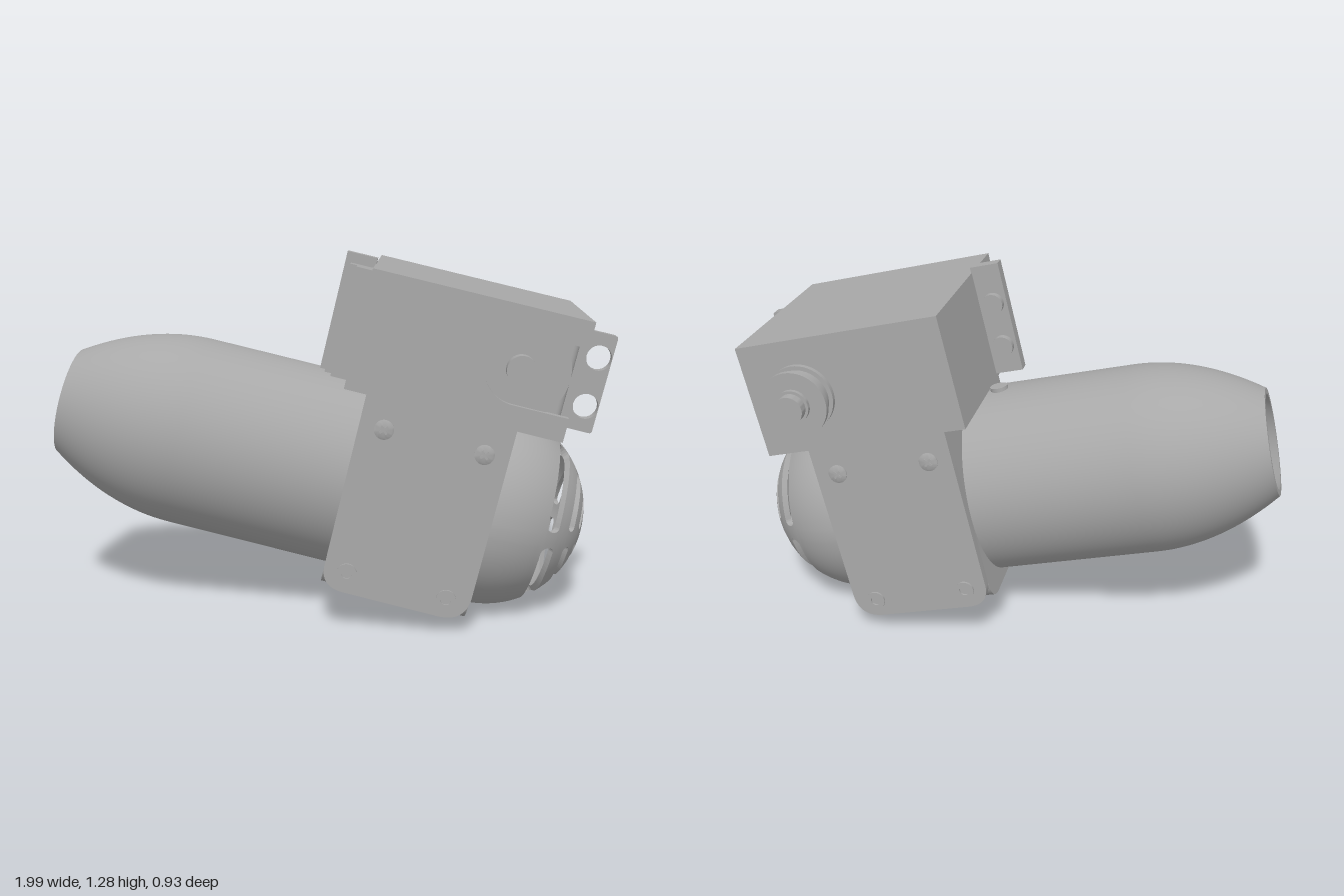
import * as THREE from 'three';
import { toCreasedNormals } from 'three/addons/utils/BufferGeometryUtils.js';
import { RoundedBoxGeometry } from 'three/addons/geometries/RoundedBoxGeometry.js';

const TILT = 0.232; // whole device leans nose-up
const AXIS_Z = 0.055, AXIS_Y = 0.492;

export function createModel() {
  const grey = new THREE.MeshStandardMaterial({ color: 0xa8a8a8, side: THREE.DoubleSide });
  grey.name = 'grey';
  const model = new THREE.Group();
  const body = new THREE.Group();
  body.name = 'tiltedBody';
  body.rotation.z = -TILT;
  model.add(body);

  const add = (name, geometry, x = 0, y = 0, z = 0) => {
    const mesh = new THREE.Mesh(geometry, grey);
    mesh.name = name;
    mesh.position.set(x, y, z);
    body.add(mesh);
    return mesh;
  };
  // box given by its min and max corners
  const box = (name, x0, x1, y0, y1, z0, z1) => add(name,
    new THREE.BoxGeometry(x1 - x0, y1 - y0, z1 - z0), (x0 + x1) / 2, (y0 + y1) / 2, (z0 + z1) / 2);
  const lathe = (points, segments = 64) => toCreasedNormals(
    new THREE.LatheGeometry(points.map(([r, h]) => new THREE.Vector2(r, h)), segments), 0.5);
  const extrude = (shape, depth) => toCreasedNormals(
    new THREE.ExtrudeGeometry(shape, { depth, bevelEnabled: false, curveSegments: 16 }), 0.5);

  // hollow barrel with a rounded nose
  const nose = (offset) => Array.from({ length: 17 }, (_, i) => {
    const t = 1 - i / 16;
    return [0.345 - 0.15 * t * t - offset, -0.64 - 0.46 * t];
  });
  const barrel = lathe([[0.323, -0.046], ...nose(0.022).reverse(), ...nose(0), [0.345, -0.04]], 80);
  barrel.rotateZ(-Math.PI / 2);
  add('barrel', barrel, 0, AXIS_Y, AXIS_Z);

  // central housing, rounded along its lower edges
  const section = new THREE.Shape();
  section.moveTo(-0.35, 0.86);
  section.lineTo(-0.35, 0.24);
  section.quadraticCurveTo(-0.35, 0.145, -0.25, 0.145);
  section.lineTo(0.25, 0.145);
  section.quadraticCurveTo(0.35, 0.145, 0.35, 0.24);
  section.lineTo(0.35, 0.86);
  const housing = extrude(section, 0.513);
  housing.rotateY(Math.PI / 2);
  add('housing', housing, -0.045, 0, AXIS_Z);

  // side plates; the front one has a notch for the shaft
  const sidePlate = (notched) => {
    const s = new THREE.Shape();
    s.moveTo(-0.122, 1.255);
    s.lineTo(-0.122, 0.845);
    s.lineTo(-0.045, 0.845);
    s.lineTo(-0.045, 0.24);
    s.quadraticCurveTo(-0.045, 0.158, 0.04, 0.158);
    s.lineTo(0.37, 0.158);
    s.quadraticCurveTo(0.468, 0.158, 0.468, 0.255);
    s.lineTo(0.468, 0.845);
    s.lineTo(0.622, 0.845);
    if (notched) {
      s.lineTo(0.622, 0.927);
      s.lineTo(0.43, 0.927);
      s.absarc(0.43, 1.047, 0.12, -Math.PI / 2, Math.PI / 2, true);
      s.lineTo(0.622, 1.167);
    }
    s.lineTo(0.622, 1.255);
    return extrude(s, 0.037);
  };
  add('frontSidePlate', sidePlate(true), 0, 0, 0.403);
  add('backSidePlate', sidePlate(false), 0, 0, -0.33);

  // motor box walls between the plates
  box('boxTop', -0.122, 0.622, 1.222, 1.255, -0.295, 0.405);
  box('boxBottom', -0.122, 0.622, 0.845, 0.875, -0.295, 0.405);
  box('boxEnd', -0.122, -0.09, 0.87, 1.225, -0.295, 0.405);

  // motor inside the box, with its boss and shaft
  add('motor', new RoundedBoxGeometry(0.65, 0.345, 0.69, 3, 0.02), 0.275, 1.048, 0.053);
  const boss = new THREE.CylinderGeometry(0.165, 0.165, 0.03, 48);
  boss.rotateX(Math.PI / 2);
  add('motorBoss', boss, 0.43, 1.047, 0.402);
  const shaft = new THREE.CylinderGeometry(0.05, 0.05, 0.06, 32);
  shaft.rotateX(Math.PI / 2);
  add('motorShaft', shaft, 0.43, 1.047, 0.432);

  // mounting tab with two holes
  const tabShape = new THREE.Shape();
  tabShape.moveTo(0.58, 0.873);
  tabShape.lineTo(0.72, 0.873);
  tabShape.quadraticCurveTo(0.73, 0.873, 0.73, 0.883);
  tabShape.lineTo(0.73, 1.205);
  tabShape.quadraticCurveTo(0.73, 1.215, 0.72, 1.215);
  tabShape.lineTo(0.58, 1.215);
  for (const y of [0.96, 1.13]) {
    const hole = new THREE.Path();
    hole.absarc(0.686, y, 0.043, 0, Math.PI * 2, true);
    tabShape.holes.push(hole);
  }
  add('mountingTab', extrude(tabShape, 0.04), 0, 0, 0.25);

  // clamp on the nose side of the box
  box('clampTab', -0.226, -0.12, 0.86, 1.275, 0.17, 0.22);
  box('clampStrap', -0.205, -0.12, 0.86, 1.24, 0.22, 0.28);
  box('clampBase', -0.18, -0.12, 0.86, 1.24, 0.28, 0.34);
  for (const y of [0.965, 1.13]) {
    const bolt = new THREE.CylinderGeometry(0.04, 0.04, 0.03, 24);
    bolt.rotateX(Math.PI / 2);
    add('clampBolt', bolt, -0.175, y, 0.157);
  }
  add('barrelButton', new THREE.CylinderGeometry(0.033, 0.033, 0.02, 24), -0.155, 0.84, 0.055);

  // pulley on the back
  const pulley = lathe([[0, -0.01], [0.12, -0.01], [0.12, 0.018], [0.105, 0.018], [0.105, 0.065],
    [0.12, 0.065], [0.12, 0.085], [0.06, 0.085], [0.06, 0.1], [0.05, 0.1], [0.05, 0.135], [0, 0.135]], 48);
  pulley.rotateX(-Math.PI / 2);
  add('pulley', pulley, 0.43, 1.047, -0.33);

  // plate screws on both sides: crossed above, socketed below
  for (const side of [1, -1]) {
    const face = side > 0 ? 0.44 : -0.33;
    for (const [x, y] of [[0.04, 0.744], [0.384, 0.743], [0.035, 0.229], [0.384, 0.224]]) {
      const crossed = y > 0.5;
      const profile = crossed
        ? [[0.034, -0.005], [0.034, 0.004], [0.026, 0.008], [0, 0.008]]
        : [[0.034, -0.005], [0.034, 0.008], [0.018, 0.008], [0.018, 0.001], [0, 0.001]];
      const screw = lathe(profile, 24);
      screw.rotateX(side * Math.PI / 2);
      add('plateScrew', screw, x, y, face);
      if (crossed) for (const turn of [0, 1]) {
        const slot = new THREE.BoxGeometry(0.034, 0.008, 0.004);
        slot.rotateZ(Math.PI / 4 + turn * Math.PI / 2);
        add('screwCross', slot, x, y, face + side * 0.009);
      }
    }
  }

  // screws behind the vents
  for (const z of [-0.04, 0.15]) for (const y of [0.5, 0.7]) {
    const screw = lathe([[0.04, 0], [0.04, 0.03], [0.02, 0.03], [0.02, 0.01], [0, 0.01]], 24);
    screw.rotateZ(-Math.PI / 2);
    add('innerScrew', screw, 0.468, y, z);
  }

  ventedDome(0.357, 0.022).forEach((g, i) =>
    add(['domeOuter', 'domeInner', 'ventEdges'][i], g, 0.466, 0.485, AXIS_Z));
  return model;
}

// Hemisphere facing +x; rings and spokes follow the outline of the vents.
function ventedDome(R, thickness) {
  const bands = [[0.066, 0.022], [0.125, 0.016], [0.2, 0.017], [0.278, 0.018]]; // centre radius, half width
  const quarter = Math.PI / 2, spokes = 22, total = spokes * 4;
  const rings = [{ r: 0.0005, g: 0.4 }];
  bands.forEach(([c, h], k) => {
    const last = rings[rings.length - 1].r;
    const gapAt = (r) => Math.asin(Math.min(0.5, 0.03 / r));
    for (let i = 1; i < 3; i++) {
      const r = last + (c - h - last) * i / 3;
      rings.push({ r, g: gapAt(r) });
    }
    for (let i = 0; i <= 8; i++) {
      const d = -h * Math.cos(Math.PI * i / 8), r = c + d;
      const round = Math.sqrt(Math.max(0, h * h - d * d));
      const g = k === 0 ? quarter / 2 - Math.max(round, 0.0005) / r : Math.asin(0.028 / c) + (h - round) / r;
      rings.push({ r, g, open: i < 8 });
    }
  });
  const start = Math.asin(rings[rings.length - 1].r / R);
  for (let i = 1; i <= 10; i++) {
    const r = R * Math.sin(start + (quarter - start) * i / 10);
    rings.push({ r, g: Math.asin(0.028 / r) });
  }

  // two spoke steps of solid at each end of a quarter, vents between
  const angle = (j, g) => {
    const q = Math.floor(j / spokes), s = j % spokes;
    const a = s <= 2 ? g * s / 2
      : s >= spokes - 2 ? quarter - g * (spokes - s) / 2
        : g + (quarter - 2 * g) * (s - 2) / (spokes - 4);
    return q * quarter + a;
  };
  const isOpen = (i, j) => {
    const s = ((j + total) % total) % spokes;
    return !!rings[i].open && s >= 2 && s < spokes - 2;
  };
  const point = (i, j, inner) => {
    const { r, g } = rings[i], a = angle(j % total, g);
    const k = inner ? (R - thickness) / R : 1;
    return [k * Math.sqrt(Math.max(0, R * R - r * r)), k * r * Math.cos(a), k * r * Math.sin(a)];
  };
  const build = (positions, index) => {
    const geometry = new THREE.BufferGeometry();
    geometry.setAttribute('position', new THREE.Float32BufferAttribute(positions, 3));
    geometry.setIndex(index);
    geometry.computeVertexNormals();
    return geometry;
  };
  const shell = (inner) => {
    const positions = [], index = [];
    rings.forEach((_, i) => {
      for (let j = 0; j < total; j++) positions.push(...point(i, j, inner));
    });
    for (let i = 0; i < rings.length - 1; i++) for (let j = 0; j < total; j++) {
      if (isOpen(i, j)) continue;
      const n = (j + 1) % total;
      const a = i * total + j, b = a + total, c = (i + 1) * total + n, d = i * total + n;
      index.push(...(inner ? [a, c, b, a, d, c] : [a, b, c, a, c, d]));
    }
    return build(positions, index);
  };
  const edges = [], edgeIndex = [];
  const wall = (i0, j0, i1, j1) => {
    const n = edges.length / 3;
    edges.push(...point(i0, j0), ...point(i1, j1), ...point(i1, j1, true), ...point(i0, j0, true));
    edgeIndex.push(n, n + 1, n + 2, n, n + 2, n + 3);
  };
  for (let i = 0; i < rings.length - 1; i++) for (let j = 0; j < total; j++) {
    if (!isOpen(i, j)) continue;
    if (!isOpen(i - 1, j)) wall(i, j + 1, i, j);
    if (!isOpen(i + 1, j)) wall(i + 1, j, i + 1, j + 1);
    if (!isOpen(i, j - 1)) wall(i, j, i + 1, j);
    if (!isOpen(i, j + 1)) wall(i + 1, j + 1, i, j + 1);
  }
  return [shell(false), shell(true), build(edges, edgeIndex)];
}
